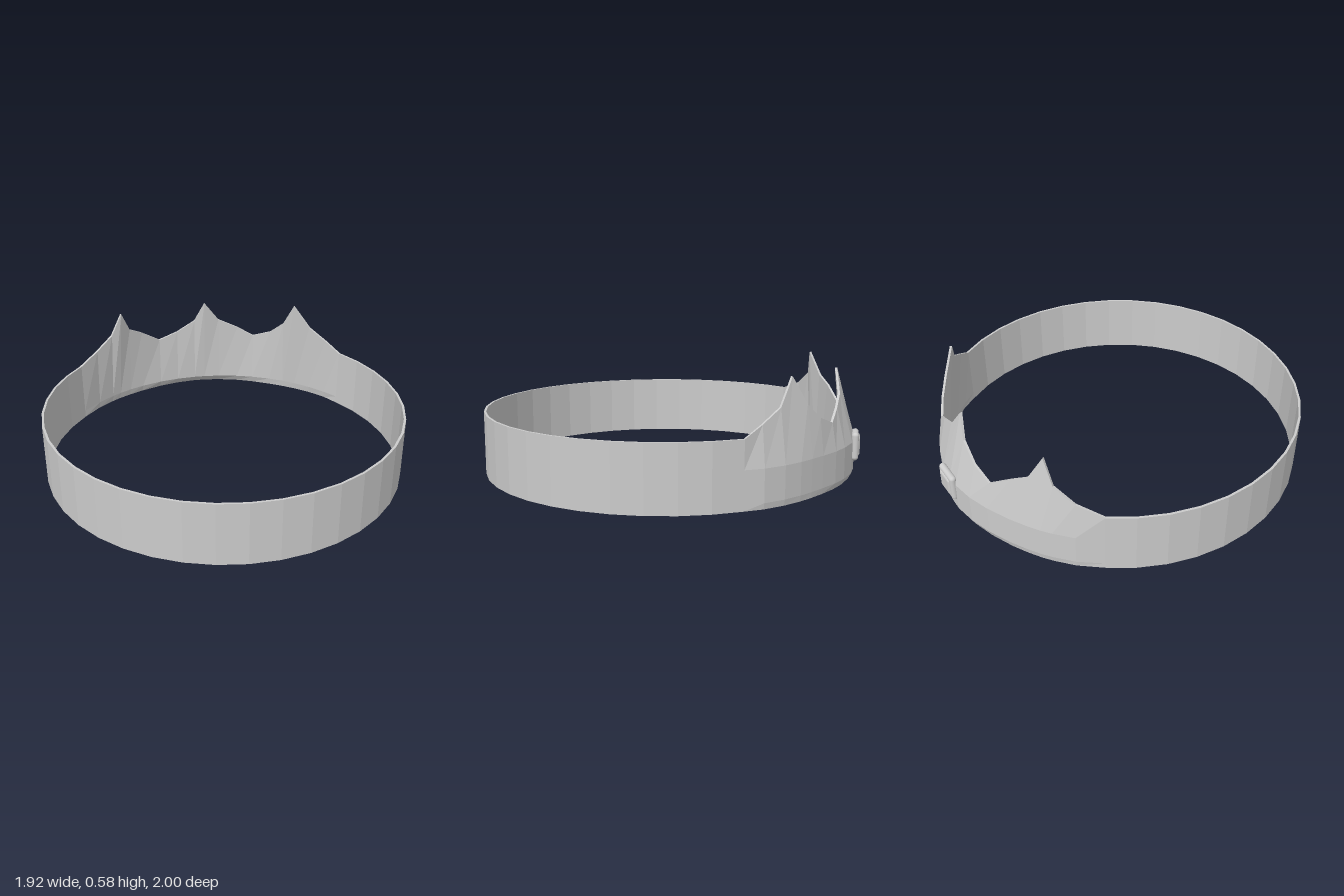
import * as THREE from 'three';
import { RoundedBoxGeometry } from 'three/addons/geometries/RoundedBoxGeometry.js';

const R = 0.962, CZ = 0.037, H = 0.33, WALL = 0.012;

// Crest outline of the three peaks along the back: [x, height]
const CREST = [
  [0.68, 0.33], [0.60, 0.385], [0.50, 0.45], [0.40, 0.58], [0.34, 0.445], [0.26, 0.37],
  [0.15, 0.33], [0.05, 0.385], [-0.07, 0.44], [-0.155, 0.56], [-0.22, 0.44], [-0.33, 0.37],
  [-0.44, 0.33], [-0.54, 0.41], [-0.605, 0.455], [-0.64, 0.58], [-0.70, 0.45], [-0.78, 0.38], [-0.86, 0.33],
];

// Outer radius of the thickened lower band along the back: [x, radius]
const BULGE = [
  [0.68, 0.962], [0.58, 0.977], [0.29, 0.971], [-0.05, 1.008],
  [-0.25, 1.013], [-0.57, 0.98], [-0.79, 0.972], [-0.86, 0.962],
];

function bulgeAt(x) {
  for (let i = 0; i < BULGE.length - 1; i++) {
    const [x0, r0] = BULGE[i], [x1, r1] = BULGE[i + 1];
    if (x <= x0 && x >= x1) return THREE.MathUtils.lerp(r0, r1, (x - x0) / (x1 - x0));
  }
  return R;
}

function bandGeometry() {
  // Columns around the ring: even steps, replaced by the crest at the back
  const columns = [];
  for (let i = 0; i < 40; i++) {
    const angle = (i / 40) * Math.PI * 2;
    if (angle < 2.3 || angle > 4.3) columns.push({ angle, top: H, crest: R, bulge: R });
  }
  for (const [x, top] of CREST) {
    const crest = R - 0.22 * (top - H); // peaks lean inward
    columns.push({ angle: Math.PI - Math.asin(x / crest), top, crest, bulge: bulgeAt(x) });
  }
  columns.sort((a, b) => a.angle - b.angle);

  // Closed wall section per column: up the outside, down the inside
  const positions = [], index = [], N = 7;
  for (const { angle, top, crest, bulge } of columns) {
    const section = [
      [bulge - (bulge - R) * 0.35, 0], [bulge, 0.03], [bulge, 0.19], [crest, top],
      [crest - WALL, top], [R - WALL, 0.04], [bulge - (bulge - R) * 0.35 - WALL, 0],
    ];
    for (const [r, y] of section) positions.push(r * Math.sin(angle), y, CZ + r * Math.cos(angle));
  }
  for (let i = 0; i < columns.length; i++) {
    const a = i * N, b = ((i + 1) % columns.length) * N;
    for (let j = 0; j < N; j++) {
      const k = (j + 1) % N;
      index.push(a + j, b + j, b + k, a + j, b + k, a + k);
    }
  }
  const geometry = new THREE.BufferGeometry();
  geometry.setAttribute('position', new THREE.Float32BufferAttribute(positions, 3));
  geometry.setIndex(index);
  geometry.computeVertexNormals();
  return geometry;
}

export function createModel() {
  const model = new THREE.Group();
  model.name = 'circlet';

  const band = new THREE.Mesh(
    bandGeometry(),
    new THREE.MeshStandardMaterial({ color: 0xcccccc, flatShading: true, side: THREE.DoubleSide }),
  );
  band.name = 'peakedBand';
  model.add(band);

  // Cushion-shaped stone in a rounded setting, on the outside of the back
  const gem = new THREE.Group();
  gem.name = 'gem';
  const material = new THREE.MeshStandardMaterial({ color: 0xcccccc });
  const setting = new THREE.Mesh(new RoundedBoxGeometry(0.15, 0.145, 0.036, 4, 0.018), material);
  setting.name = 'gemSetting';
  const stone = new THREE.Mesh(new RoundedBoxGeometry(0.118, 0.112, 0.05, 4, 0.02), material);
  stone.name = 'gemStone';
  gem.add(setting, stone);
  gem.position.set(-0.165, 0.163, -0.965);
  gem.rotation.y = Math.PI + 0.2;
  model.add(gem);

  return model;
}
